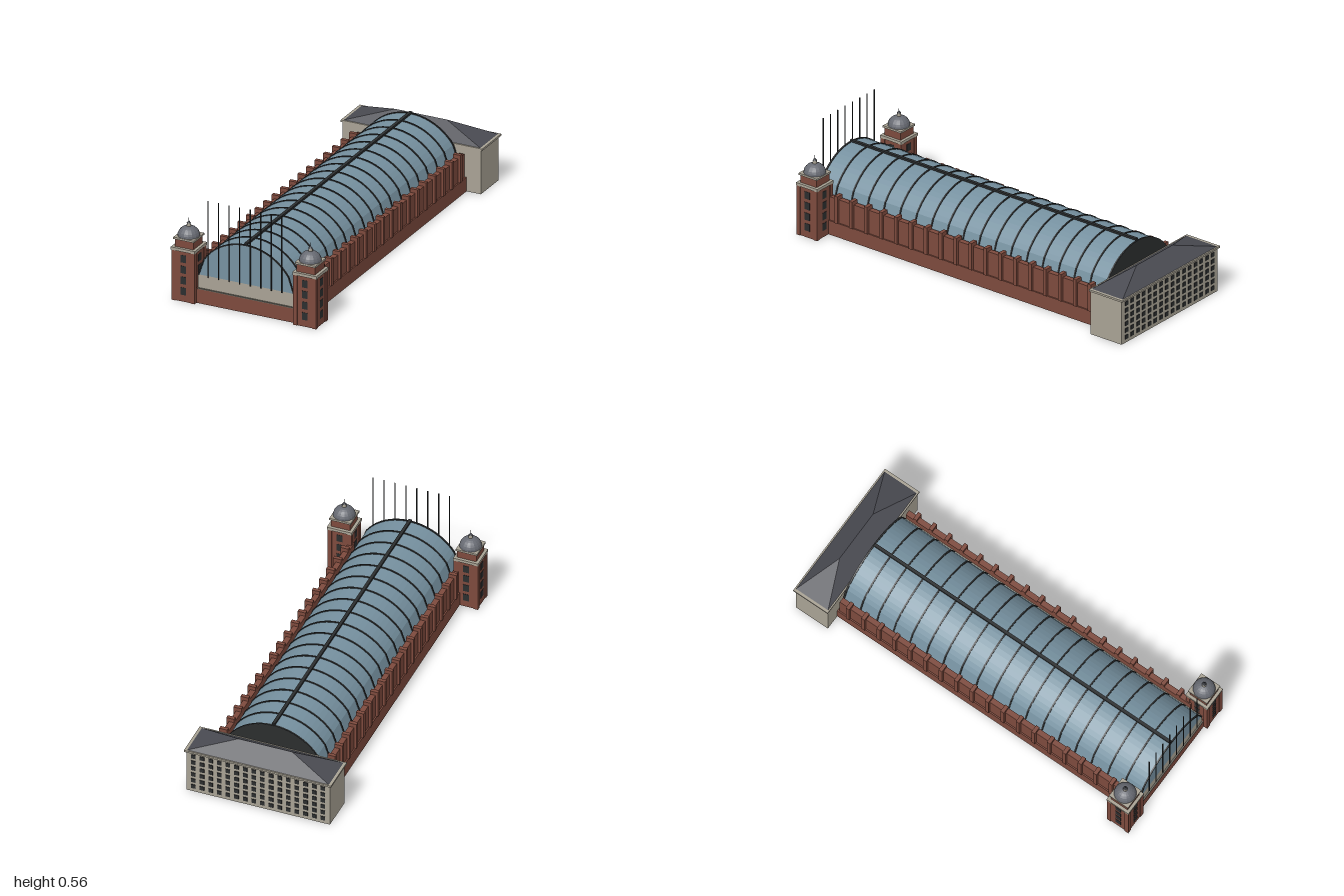
import * as THREE from 'three';

const mat = (color, extra = {}) => new THREE.MeshStandardMaterial({ color, ...extra });
const BRICK = mat(0x7d4a3d), STONE = mat(0xa8a294), GLASS = mat(0x7691a0), DARK = mat(0x2b2d2e);
const SLATE = mat(0x4a4b52, { flatShading: true, side: THREE.DoubleSide });
const LEAD = mat(0x676a72, { flatShading: true });

function add(parent, name, geometry, material, x = 0, y = 0, z = 0) {
  const mesh = new THREE.Mesh(geometry, material);
  mesh.name = name;
  mesh.position.set(x, y, z);
  parent.add(mesh);
  return mesh;
}

// Box given by its extents on each axis
function block(parent, name, material, [x0, x1], [y0, y1], [z0, z1]) {
  return add(parent, name, new THREE.BoxGeometry(x1 - x0, y1 - y0, z1 - z0), material,
    (x0 + x1) / 2, (y0 + y1) / 2, (z0 + z1) / 2);
}

// Vault outline: sloped haunches below a circular arc, grown by d
function archPoints(d = 0) {
  const cy = 0.0784, r = 0.2766 + d, a0 = Math.atan2(0.235 - cy, 0.228), n = 20;
  const pts = [new THREE.Vector2(0.257 + d, 0.15)];
  for (let i = 0; i <= n; i++) {
    const a = a0 + (Math.PI - 2 * a0) * i / n;
    pts.push(new THREE.Vector2(Math.cos(a) * r, cy + Math.sin(a) * r));
  }
  pts.push(new THREE.Vector2(-0.257 - d, 0.15));
  return pts;
}

const extrude = (pts, depth) =>
  new THREE.ExtrudeGeometry(new THREE.Shape(pts), { depth, bevelEnabled: false });

function buildHall() {
  const hall = new THREE.Group();
  hall.name = 'hall';
  block(hall, 'plinth', BRICK, [-0.297, 0.297], [0, 0.075], [-0.8, 0.975]);
  block(hall, 'frontLedge', mat(0x6a675e), [-0.262, 0.262], [0.075, 0.08], [-0.79, 0.976]);
  block(hall, 'frontWall', STONE, [-0.262, 0.262], [0.08, 0.15], [-0.79, 0.968]);

  // Side walls with rows of buttresses
  for (const s of [-1, 1]) {
    const span = (a, b) => s > 0 ? [a, b] : [-b, -a];
    block(hall, 'sideWall', BRICK, span(0.262, 0.29), [0.075, 0.2], [-0.79, 0.9]);
    for (let i = 0; i < 18; i++) {
      const z = -0.735 + i * 0.0918;
      block(hall, 'buttress', BRICK, span(0.262, 0.303), [0.075, 0.22], [z - 0.01, z + 0.01]);
    }
  }

  // Glazed vault, its ribs, ridge and dark rear gable
  add(hall, 'glassVault', extrude(archPoints(), 1.755), GLASS, 0, 0, -0.787);
  const ribGeo = extrude([...archPoints(0.004), ...archPoints(-0.002).reverse()], 0.008);
  for (let i = 0; i < 19; i++) add(hall, 'rib', ribGeo, DARK, 0, 0, -0.795 + i * 0.0978);
  block(hall, 'ridge', DARK, [-0.008, 0.008], [0.359, 0.369], [-0.79, 0.97]);
  add(hall, 'rearGable', extrude(archPoints(0.003), 0.006), DARK, 0, 0, -0.796);

  // Masts across the front
  const mastGeo = new THREE.CylinderGeometry(0.003, 0.003, 0.405, 8);
  for (let i = 0; i < 8; i++) add(hall, 'mast', mastGeo, DARK, -0.2 + i * 0.4 / 7, 0.3525, 0.983);
  return hall;
}

function buildTower(x) {
  const tower = new THREE.Group();
  tower.name = 'tower';
  const square = (name, m, h, y0, y1) => block(tower, name, m, [-h, h], [y0, y1], [-h, h]);
  square('shaft', BRICK, 0.059, 0, 0.265);
  for (const sx of [-1, 1]) for (const sz of [-1, 1])
    add(tower, 'cornerPier', new THREE.BoxGeometry(0.022, 0.265, 0.022), BRICK, sx * 0.052, 0.1325, sz * 0.052);
  square('cornice', STONE, 0.065, 0.265, 0.28);
  square('upperStage', BRICK, 0.05, 0.28, 0.32);
  square('upperCornice', STONE, 0.056, 0.32, 0.33);

  // Four windows on each face
  const windowGeo = new THREE.BoxGeometry(0.031, 0.039, 0.004);
  for (let side = 0; side < 4; side++) {
    const face = new THREE.Group();
    face.name = 'windowColumn';
    face.rotation.y = side * Math.PI / 2;
    for (let i = 0; i < 4; i++) add(face, 'window', windowGeo, DARK, 0, 0.055 + i * 0.057, 0.0585);
    tower.add(face);
  }

  // Dome, lantern and finial
  const dome = [];
  for (let i = 0; i <= 7; i++) {
    const a = i / 7 * Math.PI / 2;
    dome.push(new THREE.Vector2(0.055 * Math.cos(a), 0.05 * Math.sin(a)));
  }
  add(tower, 'dome', new THREE.LatheGeometry(dome, 16), LEAD, 0, 0.33, 0);
  add(tower, 'lantern', new THREE.CylinderGeometry(0.009, 0.011, 0.018, 8), STONE, 0, 0.387, 0);
  add(tower, 'lanternCap', new THREE.ConeGeometry(0.011, 0.014, 8), LEAD, 0, 0.401, 0);
  add(tower, 'finial', new THREE.CylinderGeometry(0.001, 0.0015, 0.018, 6), DARK, 0, 0.413, 0);
  tower.position.set(x, 0, 0.933);
  return tower;
}

// Hipped roof with a short ridge
function hipGeometry(w, d, ridge, h) {
  const g = new THREE.BufferGeometry();
  g.setAttribute('position', new THREE.Float32BufferAttribute([
    -w, 0, d, w, 0, d, w, 0, -d, -w, 0, -d, -ridge, h, 0, ridge, h, 0], 3));
  g.setIndex([0, 1, 5, 0, 5, 4, 1, 2, 5, 2, 3, 4, 2, 4, 5, 3, 0, 4]);
  const flat = g.toNonIndexed();
  flat.computeVertexNormals();
  return flat;
}

function buildRearBlock() {
  const rear = new THREE.Group();
  rear.name = 'rearBuilding';
  block(rear, 'rearBody', STONE, [-0.375, 0.375], [0, 0.233], [-0.99, -0.8]);
  block(rear, 'rearCornice', STONE, [-0.384, 0.384], [0.233, 0.243], [-1, -0.795]);
  add(rear, 'hipRoof', hipGeometry(0.37, 0.095, 0.14, 0.067), SLATE, 0, 0.243, -0.8975);
  // Grid of windows on the back
  const geo = new THREE.BoxGeometry(0.023, 0.022, 0.004);
  for (let c = 0; c < 16; c++) for (let r = 0; r < 6; r++)
    add(rear, 'rearWindow', geo, DARK, -0.338 + c * 0.676 / 15, 0.03 + r * 0.036, -0.991);
  return rear;
}

export function createModel() {
  const model = new THREE.Group();
  model.name = 'trainHall';
  model.add(buildHall(), buildTower(-0.33), buildTower(0.33), buildRearBlock());
  return model;
}
